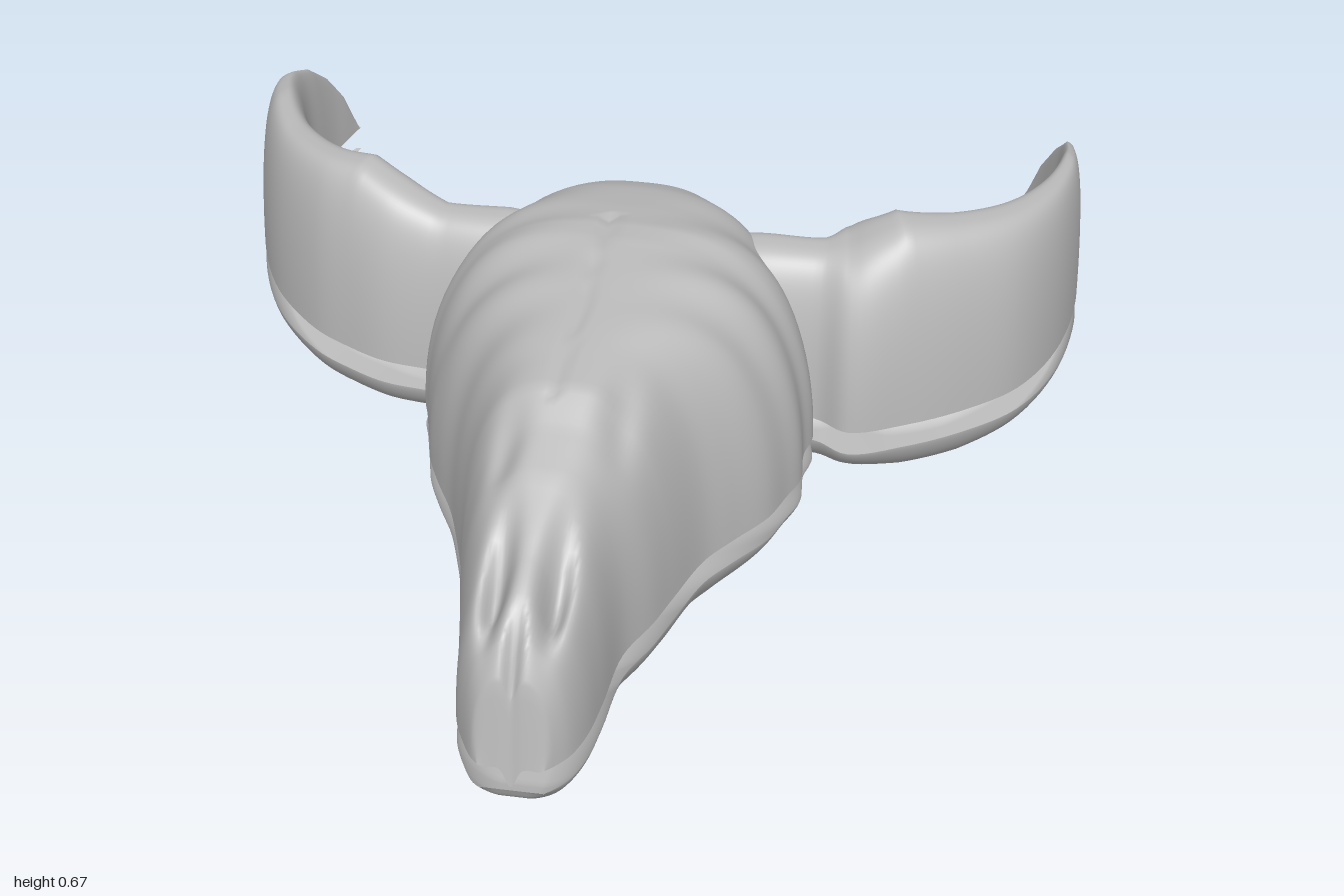
import * as THREE from 'three';

const bone = new THREE.MeshStandardMaterial({ color: 0xbebebe, side: THREE.DoubleSide });
bone.name = 'bone grey';

const TOP_RIM = 0.2, LOW_RIM = 0.147, STEPS = 6, COLS = 56;

// Each section: [x, z of one edge, x, z of the other edge, top height, lowest height]
function shell(name, sections, upper, sculpt) {
  const edgeA = new THREE.CatmullRomCurve3(sections.map(s => new THREE.Vector3(s[0], 0, s[1])));
  const edgeB = new THREE.CatmullRomCurve3(sections.map(s => new THREE.Vector3(s[2], 0, s[3])));
  const rows = (sections.length - 1) * STEPS;
  const pos = [], index = [];
  for (let i = 0; i <= rows; i++) {
    const a = edgeA.getPoint(i / rows), b = edgeB.getPoint(i / rows);
    const k = Math.min(Math.floor(i / STEPS), sections.length - 2);
    const f = i / STEPS - k;
    const height = THREE.MathUtils.lerp(sections[k][upper ? 4 : 5], sections[k + 1][upper ? 4 : 5], f);
    for (let j = 0; j <= COLS; j++) {
      const s = Math.sin((j / COLS - 0.5) * Math.PI), m = Math.abs(s);
      const p = a.clone().lerp(b, (s + 1) / 2);
      if (upper) {
        // steep walls that round over into a crown
        const rise = Math.pow(Math.max(0, 1 - Math.pow(m, 2.9)), 0.47);
        p.y = TOP_RIM + (height - TOP_RIM) * rise;
        if (sculpt) p.y -= sculpt(p.x, p.z) * rise;
        if (j === 0 || j === COLS) p.y += 0.008 * Math.sin(i * 37.7);
      } else {
        const drop = Math.min(1, 1.06 * Math.pow(Math.max(0, 1 - Math.pow(m, 2.4)), 0.75));
        p.y = LOW_RIM - (LOW_RIM - height) * drop;
      }
      pos.push(p.x, p.y, p.z);
      if (i < rows && j < COLS) {
        const q = i * (COLS + 1) + j, r = q + COLS + 1;
        if (upper) index.push(q, r, q + 1, q + 1, r, r + 1);
        else index.push(q, q + 1, r, q + 1, r + 1, r);
      }
    }
  }
  const geo = new THREE.BufferGeometry();
  geo.setAttribute('position', new THREE.Float32BufferAttribute(pos, 3));
  geo.setIndex(index);
  geo.computeVertexNormals();
  const mesh = new THREE.Mesh(geo, bone);
  mesh.name = name;
  return mesh;
}

// Skull, from the back of the head to the muzzle: [z, right x, left x, top, bottom]
const skull = [
  [-0.42, -0.1, 0.09, 0.2, 0.147],
  [-0.41, -0.14, 0.13, 0.47, 0.1],
  [-0.375, -0.19, 0.18, 0.54, 0.06],
  [-0.33, -0.25, 0.25, 0.58, 0.02],
  [-0.26, -0.32, 0.31, 0.615, 0],
  [-0.15, -0.37, 0.36, 0.645, 0],
  [-0.06, -0.39, 0.385, 0.665, 0],
  [0.0, -0.375, 0.375, 0.67, 0],
  [0.08, -0.355, 0.38, 0.67, 0],
  [0.14, -0.34, 0.36, 0.67, 0],
  [0.21, -0.31, 0.335, 0.67, 0],
  [0.29, -0.27, 0.28, 0.67, 0],
  [0.36, -0.245, 0.235, 0.67, 0],
  [0.48, -0.21, 0.195, 0.668, 0.003],
  [0.56, -0.195, 0.17, 0.63, 0.025],
  [0.66, -0.175, 0.13, 0.6, 0.043],
  [0.8, -0.15, 0.117, 0.535, 0.055],
  [0.89, -0.135, 0.105, 0.5, 0.066],
  [0.95, -0.11, 0.085, 0.455, 0.09],
  [0.985, -0.09, 0.06, 0.39, 0.12],
  [1.0, -0.075, 0.045, 0.2, 0.147],
].map(([z, r, l, t, b]) => [r, z, l, z, t, b]);

const leftHorn = [
  [0.12, -0.33, 0.12, -0.12, 0.53, 0.08],
  [0.25, -0.335, 0.27, -0.12, 0.54, 0.07],
  [0.37, -0.34, 0.38, -0.12, 0.54, 0.068],
  [0.405, -0.395, 0.45, -0.085, 0.555, 0.065],
  [0.48, -0.375, 0.56, -0.13, 0.605, 0.05],
  [0.59, -0.41, 0.67, -0.2, 0.58, 0.052],
  [0.69, -0.49, 0.765, -0.29, 0.56, 0.07],
  [0.755, -0.6, 0.83, -0.43, 0.54, 0.09],
  [0.785, -0.71, 0.855, -0.61, 0.52, 0.108],
  [0.785, -0.8, 0.84, -0.74, 0.48, 0.12],
  [0.765, -0.87, 0.805, -0.87, 0.4, 0.13],
  [0.74, -0.94, 0.765, -0.94, 0.31, 0.14],
  [0.715, -0.99, 0.725, -0.99, 0.2, 0.147],
];

const rightHorn = [
  [-0.12, -0.12, -0.12, -0.33, 0.53, 0.08],
  [-0.27, -0.13, -0.25, -0.335, 0.54, 0.07],
  [-0.39, -0.15, -0.38, -0.34, 0.53, 0.07],
  [-0.5, -0.165, -0.46, -0.375, 0.565, 0.065],
  [-0.58, -0.2, -0.52, -0.4, 0.59, 0.065],
  [-0.66, -0.25, -0.6, -0.43, 0.575, 0.07],
  [-0.765, -0.37, -0.7, -0.54, 0.55, 0.08],
  [-0.83, -0.52, -0.76, -0.68, 0.535, 0.1],
  [-0.855, -0.66, -0.78, -0.77, 0.505, 0.115],
  [-0.835, -0.77, -0.775, -0.84, 0.46, 0.125],
  [-0.8, -0.88, -0.765, -0.9, 0.39, 0.132],
  [-0.77, -0.95, -0.75, -0.95, 0.31, 0.14],
  [-0.745, -1.0, -0.735, -1.0, 0.2, 0.147],
];

// Torn splinter behind the right horn base
const splinter = [
  [-0.52, -0.37, -0.4, -0.34, 0.33, 0.12],
  [-0.49, -0.42, -0.42, -0.4, 0.27, 0.13],
  [-0.46, -0.47, -0.41, -0.45, 0.24, 0.14],
  [-0.45, -0.51, -0.42, -0.49, 0.22, 0.143],
  [-0.42, -0.55, -0.41, -0.54, 0.2, 0.147],
];

// Nostril hollows, nasal seam, temple dents and ripples down the cheeks
function carve(x, z) {
  const bell = (cx, cz, wx, wz) => Math.exp(-(((x - cx) / wx) ** 2) - ((z - cz) / wz) ** 2);
  const nostrils = 0.09 * (bell(-0.068, 0.84, 0.024, 0.09) + bell(0.04, 0.84, 0.024, 0.09));
  const notch = 0.05 * bell(-0.015, 0.98, 0.014, 0.06);
  const seam = z > -0.1 && z < 0.5 ? 0.012 * Math.exp(-(((x + 0.025) / 0.008) ** 2)) : 0;
  const temples = 0.03 * (bell(-0.1, 0.6, 0.03, 0.08) + bell(0.1, 0.5, 0.03, 0.08));
  const ripples = 0.012 * Math.sin(z * 38 + x * 9) * Math.min(1, (x / 0.28) ** 2);
  return nostrils + notch + seam + temples + ripples;
}

export function createModel() {
  const model = new THREE.Group();
  model.name = 'hornedSkull';
  const parts = [
    ['skull', skull, carve],
    ['leftHorn', leftHorn],
    ['rightHorn', rightHorn],
    ['splinter', splinter],
  ];
  for (const [name, sections, sculpt] of parts) {
    model.add(shell(name + 'Upper', sections, true, sculpt));
    model.add(shell(name + 'Lower', sections, false));
  }
  return model;
}
